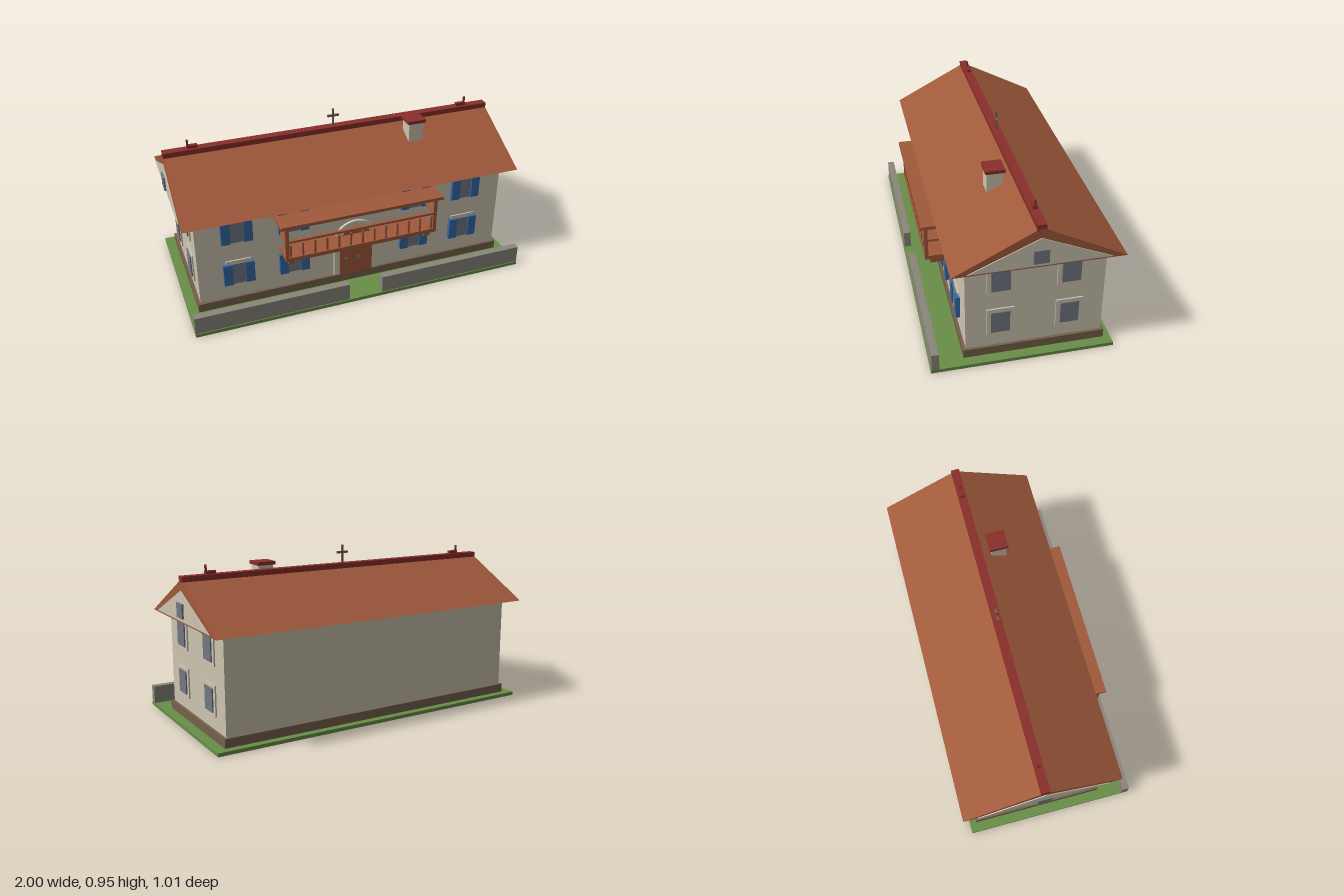
import * as THREE from 'three';

const mat = (name, color) => {
  const m = new THREE.MeshStandardMaterial({ color });
  m.name = name;
  return m;
};

export function createModel() {
  const plaster = mat('plaster', 0xcec5b1);
  const terracotta = mat('terracotta wood', 0xa0593b);
  const darkRed = mat('dark red', 0x8a2f2a);
  const blue = mat('shutter blue', 0x3469a5);
  const glass = mat('glass', 0x737883);
  const grass = mat('grass', 0x6a8f48);
  const stone = mat('stone', 0x8b867c);
  const brown = mat('earth brown', 0x75614c);

  const house = new THREE.Group();
  house.name = 'house';

  const add = (name, geometry, material, parent = house) => {
    const mesh = new THREE.Mesh(geometry, material);
    mesh.name = name;
    parent.add(mesh);
    return mesh;
  };
  // Box given by its limits on each axis
  const box = (name, material, x0, x1, y0, y1, z0, z1, parent = house) => {
    const mesh = add(name, new THREE.BoxGeometry(x1 - x0, y1 - y0, z1 - z0), material, parent);
    mesh.position.set((x0 + x1) / 2, (y0 + y1) / 2, (z0 + z1) / 2);
    return mesh;
  };
  const group = (name) => {
    const g = new THREE.Group();
    g.name = name;
    house.add(g);
    return g;
  };

  // Ground, plinth and walls
  box('lawn', grass, -0.985, 0.985, 0, 0.02, -0.48, 0.505);
  box('plinth', brown, -0.93, 0.93, 0.02, 0.07, -0.44, 0.325);
  box('walls', plaster, -0.915, 0.915, 0.07, 0.6, -0.425, 0.31);
  for (const s of [-1, 1]) {
    box('gardenWall', stone, Math.min(s * 0.1, s * 0.985), Math.max(s * 0.1, s * 0.985), 0.02, 0.122, 0.46, 0.5);
  }

  // Triangular prism along x from a (z, y) outline
  const prism = (name, material, points, x0, x1) => {
    const shape = new THREE.Shape(points.map(([z, y]) => new THREE.Vector2(-z, y)));
    const geometry = new THREE.ExtrudeGeometry(shape, { depth: x1 - x0, bevelEnabled: false });
    geometry.rotateY(Math.PI / 2);
    geometry.translate(x0, 0, 0);
    return add(name, geometry, material);
  };
  prism('roof', terracotta, [[0.39, 0.6], [-0.505, 0.6], [-0.057, 0.832]], -0.985, 0.985);
  const gable = [[0.31, 0.61], [-0.425, 0.61], [-0.057, 0.773]];
  prism('leftGable', plaster, gable, 0.984, 0.99);
  prism('rightGable', plaster, gable, -0.99, -0.984);

  // Ridge with end finials and a central cross
  box('ridge', darkRed, -0.985, 0.985, 0.815, 0.849, -0.081, -0.032);
  for (const s of [-1, 1]) {
    const finial = group('ridgeFinial');
    box('finialBase', darkRed, s * 0.82 - 0.03, s * 0.82 + 0.03, 0.848, 0.867, -0.068, -0.046, finial);
    box('finialPost', darkRed, s * 0.845 - 0.005, s * 0.845 + 0.005, 0.86, 0.9, -0.062, -0.052, finial);
  }
  const cross = group('cross');
  box('crossPost', brown, -0.005, 0.005, 0.848, 0.953, -0.062, -0.052, cross);
  box('crossBar', brown, -0.035, 0.035, 0.905, 0.917, -0.062, -0.052, cross);

  // Chimney
  box('chimney', plaster, 0.41, 0.5, 0.7, 0.862, 0.018, 0.108);
  box('chimneyCap', darkRed, 0.4, 0.51, 0.86, 0.879, 0.008, 0.116);

  // Windows: side walls have plain frames, front ones have shutters
  const rows = [0.23, 0.5];
  for (const y of rows) {
    for (const s of [-1, 1]) {
      for (const z of [0.127, -0.241]) {
        const w = group('sideWindow');
        const x = s * 0.915;
        box('windowFrame', plaster, x - 0.008, x + 0.008, y - 0.084, y + 0.084, z - 0.073, z + 0.073, w);
        box('windowPane', glass, x - 0.015, x + 0.015, y - 0.065, y + 0.065, z - 0.05, z + 0.05, w);
      }
      for (const c of [0.367, 0.6875]) {
        const w = group('frontWindow');
        const x = s * c;
        box('windowFrame', plaster, x - 0.073, x + 0.073, y - 0.084, y + 0.084, 0.305, 0.318, w);
        box('windowPane', glass, x - 0.05, x + 0.05, y - 0.065, y + 0.065, 0.305, 0.325, w);
        for (const t of [-1, 1]) {
          const sx = x + t * 0.0625;
          box('shutter', blue, sx - 0.025, sx + 0.025, y - 0.066, y + 0.066, 0.31, 0.333, w);
        }
      }
    }
  }
  for (const s of [-1, 1]) {
    box('gableWindow', glass, s * 0.99 - 0.01, s * 0.99 + 0.01, 0.63, 0.708, -0.096, -0.017);
  }

  // Arched door with a raised surround and studs
  const arch = (r) => {
    const shape = new THREE.Shape();
    shape.moveTo(-r, 0.072);
    shape.lineTo(r, 0.072);
    shape.lineTo(r, 0.292);
    shape.absarc(0, 0.292, r, 0, Math.PI, false);
    shape.closePath();
    return shape;
  };
  const extrudeArch = (name, r, depth, material) => {
    const geometry = new THREE.ExtrudeGeometry(arch(r), { depth, bevelEnabled: false, curveSegments: 16 });
    add(name, geometry, material).position.z = 0.308;
  };
  extrudeArch('doorSurround', 0.13, 0.017, plaster);
  extrudeArch('door', 0.099, 0.027, terracotta);
  for (const [x, y] of [[-0.02, 0.26], [0.06, 0.26], [-0.06, 0.182], [0.017, 0.182]]) {
    const stud = add('doorStud', new THREE.CylinderGeometry(0.011, 0.011, 0.006, 12), glass);
    stud.rotation.x = Math.PI / 2;
    stud.position.set(x, y, 0.336);
  }

  // Balcony with canopy
  const balcony = group('balcony');
  box('balconyFloor', terracotta, -0.45, 0.45, 0.321, 0.344, 0.31, 0.442, balcony);
  box('canopy', terracotta, -0.478, 0.478, 0.54, 0.558, 0.31, 0.46, balcony);
  box('frontRail', terracotta, -0.45, 0.45, 0.44, 0.453, 0.424, 0.443, balcony);
  for (const s of [-1, 1]) {
    box('bracket', terracotta, s * 0.41 - 0.017, s * 0.41 + 0.017, 0.28, 0.322, 0.31, 0.41, balcony);
    box('post', terracotta, s * 0.44 - 0.01, s * 0.44 + 0.01, 0.34, 0.542, 0.422, 0.441, balcony);
    box('sideRail', terracotta, s * 0.44 - 0.01, s * 0.44 + 0.01, 0.44, 0.453, 0.31, 0.43, balcony);
  }
  for (let i = 0; i < 13; i++) {
    const x = -0.42 + i * 0.07;
    box('baluster', terracotta, x - 0.005, x + 0.005, 0.342, 0.425, 0.427, 0.437, balcony);
  }

  return house;
}
